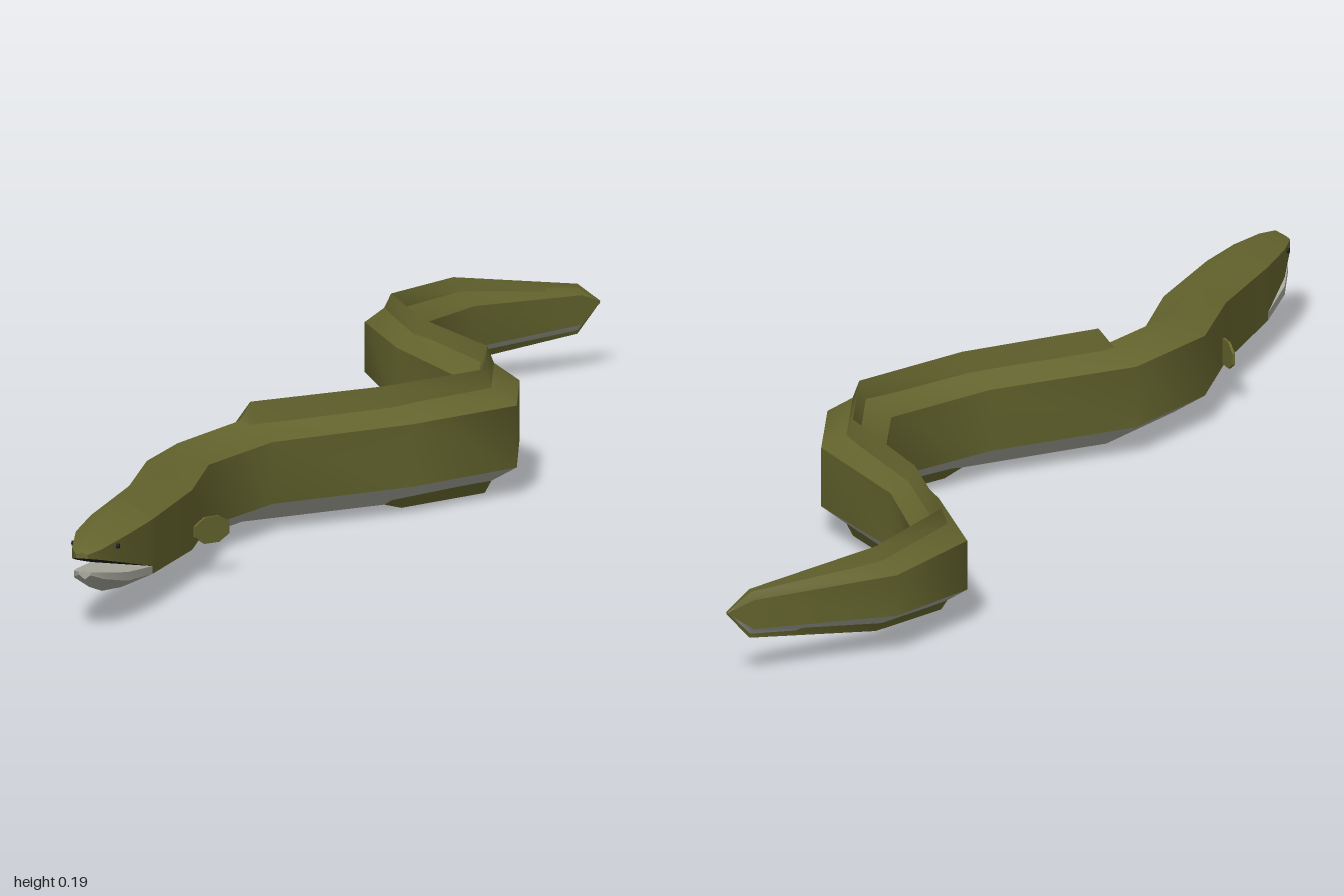
import * as THREE from 'three';

const mat = (name, color) => {
  const m = new THREE.MeshStandardMaterial({ color, side: THREE.DoubleSide });
  m.name = name;
  return m;
};

// Loft rings from head to tail. Each lengthwise strip has its own vertices,
// so it is smooth along the body and sharp across the ridges.
// Ring points run counter-clockwise seen from the front.
function loft(rings, stripMaterial) {
  const pos = [], idx = [];
  const geo = new THREE.BufferGeometry();
  for (let k = 0; k < rings[0].length - 1; k++) {
    const base = pos.length / 3, start = idx.length;
    rings.forEach((r, i) => {
      pos.push(...r[k], ...r[k + 1]);
      if (i === 0) return;
      const a = base + (i - 1) * 2;
      idx.push(a, a + 2, a + 1, a + 1, a + 2, a + 3);
    });
    geo.addGroup(start, idx.length - start, stripMaterial[k]);
  }
  geo.setAttribute('position', new THREE.Float32BufferAttribute(pos, 3));
  geo.setIndex(idx);
  geo.computeVertexNormals();
  return geo;
}

// Body stations: z, centre x, half width, top, shoulder, hip, bottom
const BODY = [
  [0.80, -0.125, 0.048, 0.163, 0.133, 0.050, 0.027],
  [0.60, -0.126, 0.049, 0.165, 0.136, 0.045, 0.017],
  [0.43, -0.152, 0.048, 0.167, 0.137, 0.044, 0.014],
  [0.25, -0.107, 0.047, 0.168, 0.137, 0.043, 0.013],
  [0.07, 0.058, 0.044, 0.168, 0.137, 0.042, 0.012],
  [-0.105, 0.16, 0.050, 0.167, 0.136, 0.042, 0.013],
  [-0.28, 0.11, 0.050, 0.165, 0.135, 0.044, 0.015],
  [-0.455, -0.047, 0.038, 0.163, 0.132, 0.047, 0.019],
  [-0.63, -0.148, 0.041, 0.160, 0.128, 0.052, 0.026],
  [-0.81, -0.107, 0.033, 0.152, 0.122, 0.059, 0.040],
  [-0.97, 0.037, 0.007, 0.126, 0.113, 0.068, 0.059],
  [-1.00, 0.062, 0.001, 0.100, 0.099, 0.097, 0.096],
];

// Centre line of the body
function centreX(z) {
  for (let i = 1; i < BODY.length; i++) {
    const [z0, x0] = BODY[i - 1], [z1, x1] = BODY[i];
    if (z >= z1) return z > z0 ? x0 : x0 + (x1 - x0) * (z0 - z) / (z0 - z1);
  }
  return BODY[BODY.length - 1][1];
}

export function createModel() {
  const group = new THREE.Group();
  const olive = mat('olive skin', 0x66662f);
  const belly = mat('pale belly', 0xa9a99e);
  const dark = mat('dark mouth and eyes', 0x1c1c1a);
  const mats = [olive, belly, dark];
  const add = (name, geo, material) => {
    const m = new THREE.Mesh(geo, material);
    m.name = name;
    group.add(m);
    return m;
  };

  // Six-sided winding body with a pale underside
  add('body', loft(BODY.map(([z, x, w, top, sh, hip, bot]) => [
    [x, top, z], [x - w, sh, z], [x - w, hip, z], [x, bot, z],
    [x + w, hip, z], [x + w, sh, z], [x, top, z],
  ]), [0, 0, 1, 1, 0, 0]), mats);

  // Open jaws: z, half width, then heights
  const hx = -0.125;
  const UPPER = [ // top, shoulder, lip
    [1.00, 0.009, 0.121, 0.118, 0.112],
    [0.975, 0.023, 0.134, 0.122, 0.106],
    [0.90, 0.040, 0.151, 0.130, 0.087],
    [0.80, 0.048, 0.163, 0.133, 0.062],
  ];
  add('upperJaw', loft(UPPER.map(([z, w, top, sh, lip]) => [
    [hx, top, z], [hx - w, sh, z], [hx - w, lip, z],
    [hx + w, lip, z], [hx + w, sh, z], [hx, top, z],
  ]), [0, 0, 2, 0, 0]), mats);
  const LOWER = [ // lip, hip, bottom
    [0.985, 0.009, 0.088, 0.084, 0.077],
    [0.965, 0.023, 0.085, 0.075, 0.062],
    [0.90, 0.040, 0.073, 0.060, 0.042],
    [0.80, 0.048, 0.062, 0.050, 0.027],
  ];
  add('lowerJaw', loft(LOWER.map(([z, w, lip, hip, bot]) => [
    [hx + w, lip, z], [hx - w, lip, z], [hx - w, hip, z],
    [hx, bot, z], [hx + w, hip, z], [hx + w, lip, z],
  ]), [1, 1, 1, 1, 1]), mats);

  // Blunt tips closing both jaws
  const tip = (name, pts, material) => {
    const s = new THREE.Shape(pts.map(([x, y]) => new THREE.Vector2(x, y)));
    return add(name, new THREE.ShapeGeometry(s), material);
  };
  tip('snoutTip', [[-0.009, 0.112], [0.009, 0.112], [0.009, 0.118], [0, 0.121], [-0.009, 0.118]], olive)
    .position.set(hx, 0, 1);
  tip('chinTip', [[0, 0.077], [0.009, 0.084], [0.009, 0.088], [-0.009, 0.088], [-0.009, 0.084]], belly)
    .position.set(hx, 0, 0.985);

  // Low ridge fins along the back and under the tail: z, base, crest
  const fin = (name, rows) => add(name, loft(rows.map(([z, base, crest]) => {
    const x = centreX(z), w = z < -0.9 ? 0.002 : 0.011;
    const side = crest > base ? w : -w;
    return [[x + side, base, z], [x, crest, z], [x - side, base, z]];
  }), [0, 0]), mats);
  fin('dorsalFin', [
    [0.255, 0.160, 0.168], [0.24, 0.160, 0.194], [0.07, 0.160, 0.192], [-0.105, 0.159, 0.188],
    [-0.28, 0.157, 0.184], [-0.455, 0.154, 0.179], [-0.63, 0.151, 0.174],
    [-0.81, 0.143, 0.164], [-0.97, 0.118, 0.130], [-1, 0.099, 0.100],
  ]);
  fin('analFin', [
    [0.07, 0.020, 0.012], [0.04, 0.020, 0.002], [-0.105, 0.020, 0], [-0.28, 0.022, 0.003],
    [-0.455, 0.026, 0.009], [-0.63, 0.034, 0.017], [-0.81, 0.048, 0.032],
    [-0.97, 0.066, 0.054], [-1, 0.097, 0.096],
  ]);

  // Mirrored pectoral fins and eyes
  for (const s of [-1, 1]) {
    const name = s > 0 ? 'left' : 'right';
    const plate = new THREE.Shape([
      [-0.03, -0.008], [-0.012, -0.02], [0.014, -0.02], [0.033, -0.009],
      [0.033, 0.009], [0.014, 0.02], [-0.012, 0.02], [-0.03, 0.008],
    ].map(([x, y]) => new THREE.Vector2(x, y)));
    const pectoral = add(name + 'PectoralFin',
      new THREE.ExtrudeGeometry(plate, { depth: 0.004, bevelEnabled: false }), olive);
    pectoral.position.set(hx + s * 0.065, 0.07, 0.565);
    pectoral.rotation.y = s > 0 ? 0.92 : Math.PI - 0.92;

    const eye = add(name + 'Eye', new THREE.CylinderGeometry(0.004, 0.004, 0.006, 6), dark);
    eye.rotation.z = Math.PI / 2;
    eye.position.set(hx + s * 0.034, 0.119, 0.93);
  }
  return group;
}
